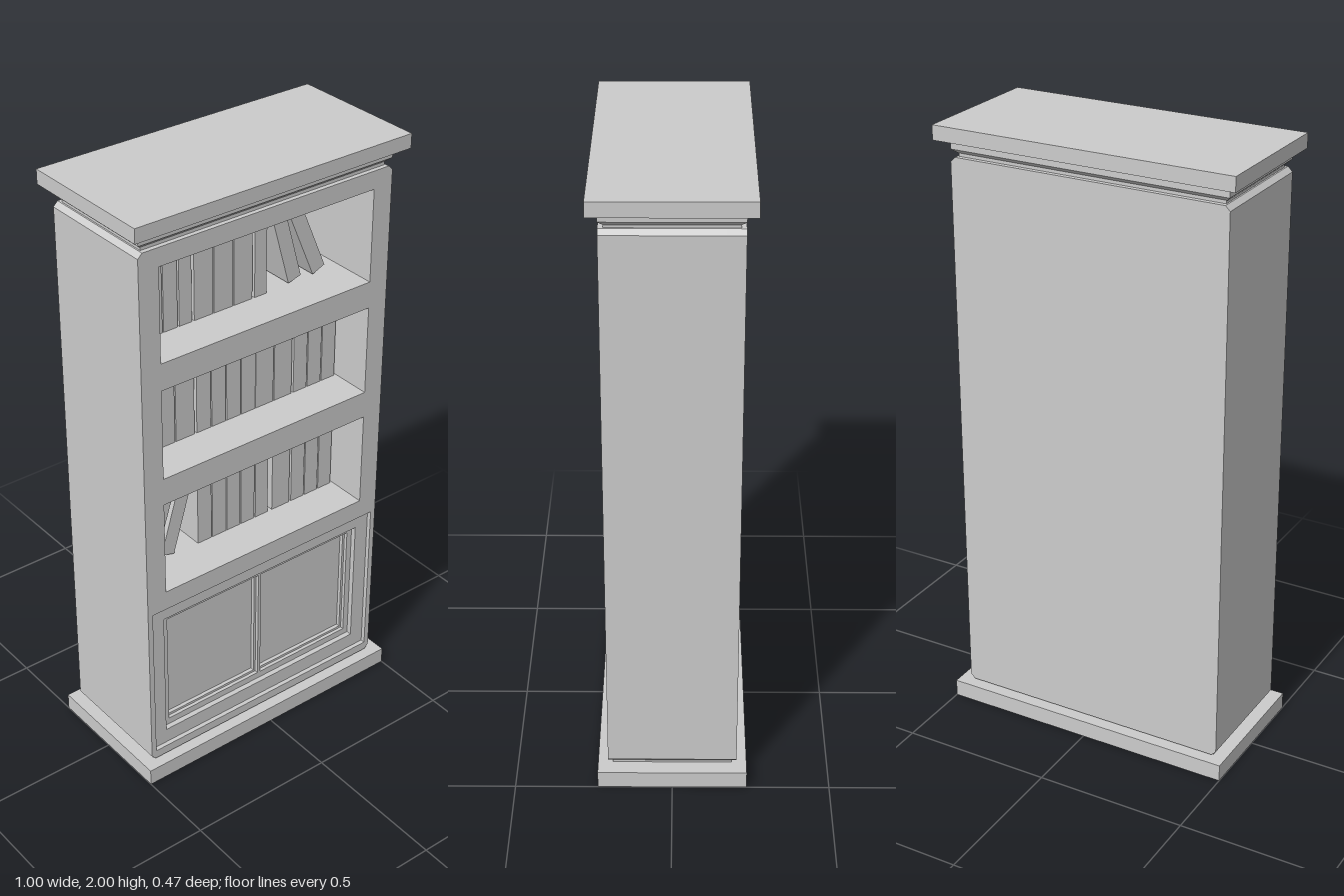
import * as THREE from 'three';

const material = new THREE.MeshStandardMaterial({ color: 0xcccccc });
const CX = -0.005; // centre of the carcass
const BACK = -0.15; // back of the open shelves

export function createModel() {
  const model = new THREE.Group();
  model.name = 'bookcase';

  const add = (name, geometry, parent = model) => {
    const mesh = new THREE.Mesh(geometry, material);
    mesh.name = name;
    parent.add(mesh);
    return mesh;
  };
  // Box given by its limits
  const box = (name, x0, x1, y0, y1, z0, z1, parent) => {
    const mesh = add(name, new THREE.BoxGeometry(x1 - x0, y1 - y0, z1 - z0), parent);
    mesh.position.set((x0 + x1) / 2, (y0 + y1) / 2, (z0 + z1) / 2);
    return mesh;
  };
  // Outline of a rectangle with corners cut by c
  const outline = (Type, x0, x1, y0, y1, c = 0) => new Type([
    [x0 + c, y0], [x1 - c, y0], [x1, y0 + c], [x1, y1 - c],
    [x1 - c, y1], [x0 + c, y1], [x0, y1 - c], [x0, y0 + c],
  ].filter((p, i) => c > 0 || i % 2 === 0).map(([x, y]) => new THREE.Vector2(x, y)));
  // Slab with rectangular holes, running from z0 to z1
  const slab = (name, rect, holes, z0, z1, chamfer, parent) => {
    const shape = outline(THREE.Shape, ...rect, chamfer);
    for (const h of holes) shape.holes.push(outline(THREE.Path, ...h));
    const geometry = new THREE.ExtrudeGeometry(shape, { depth: z1 - z0, bevelEnabled: false });
    geometry.translate(0, 0, z0);
    return add(name, geometry, parent);
  };

  // Base and top
  box('base', -0.5, 0.5, 0, 0.057, -0.237, 0.237);
  box('baseNeck', CX - 0.45, CX + 0.45, 0.05, 0.09, -0.19, 0.19);
  box('topNeck', CX - 0.445, CX + 0.445, 1.87, 1.92, -0.19, 0.19);
  box('topSlab', -0.5, 0.5, 1.953, 2, -0.237, 0.237);

  // Cornice band with a bevelled underside
  const cornice = new THREE.BoxGeometry(0.926, 0.045, 0.41, 1, 2, 1).toNonIndexed();
  const p = cornice.attributes.position;
  for (let i = 0; i < p.count; i++) {
    if (p.getY(i) < -0.01) p.setXYZ(i, p.getX(i) * 0.965, p.getY(i), p.getZ(i) * 0.92);
    else if (p.getY(i) < 0.01) p.setY(i, -0.008);
  }
  cornice.computeVertexNormals();
  add('cornice', cornice).position.set(CX, 1.9315, 0);

  // Carcass with three open shelves and a cupboard recess
  const body = [CX - 0.465, CX + 0.465, 0.065, 1.9];
  const inner = [CX - 0.395, CX + 0.395];
  const cupboard = [CX - 0.447, CX + 0.447, 0.095, 0.65];
  const doorway = [...inner, 0.147, 0.6];
  const shelves = [[1.53, 1.84], [1.135, 1.44], [0.717, 1.043]].map((y) => [...inner, ...y]);
  slab('carcass', body, [...shelves, cupboard], BACK, 0.205, 0.015);
  slab('backPanel', body, [], -0.205, BACK, 0.015);

  // Cupboard front, stepping inwards
  const front = new THREE.Group();
  front.name = 'cupboard';
  model.add(front);
  slab('cupboardFrame', cupboard, [doorway], 0.12, 0.19, 0, front);
  const doors = [[-0.375, -0.008], [0.003, 0.37]];
  const rims = doors.map(([a, b]) => [a, b, 0.17, 0.577]);
  slab('doorFrame', doorway, rims, 0.12, 0.172, 0, front);
  for (const [x0, x1, y0, y1] of rims) {
    const panel = [x0 + 0.008, x1 - 0.008, y0 + 0.008, y1 - 0.008];
    slab('doorMoulding', [x0, x1, y0, y1], [panel], 0.12, 0.16, 0, front);
    box('doorPanel', ...panel, 0.12, 0.147, front);
  }

  // Upright books: floor, then [left edge, width, height, count]
  const rows = [
    [1.53, [[-0.397, 0.055, 0.31, 3], [-0.23, 0.05, 0.31, 1], [-0.175, 0.074, 0.28, 3], [0.052, 0.05, 0.31, 1]]],
    [1.135, [[-0.397, 0.074, 0.285, 3], [-0.17, 0.058, 0.303, 4], [0.06, 0.074, 0.285, 2], [0.212, 0.058, 0.303, 3]]],
    [0.717, [[-0.17, 0.058, 0.31, 4], [0.063, 0.055, 0.31, 1], [0.132, 0.076, 0.287, 1], [0.212, 0.058, 0.31, 3]]],
  ];
  const books = new THREE.Group();
  books.name = 'books';
  model.add(books);
  for (const [floor, runs] of rows) {
    for (const [x, w, h, count] of runs) {
      for (let i = 0; i < count; i++) {
        box('book', x + i * w, x + (i + 1) * w - 0.004, floor, floor + h, -0.13, 0.065, books);
      }
    }
  }

  // Leaning books: [centre x, centre y, tilt]
  const leaning = [
    [0.168, 1.686, 0.27], [0.245, 1.682, 0.4],
    [-0.315, 0.871, -0.31], [-0.246, 0.871, -0.29],
  ];
  for (const [x, y, tilt] of leaning) {
    const book = add('leaningBook', new THREE.BoxGeometry(0.05, 0.3, 0.195), books);
    book.position.set(x, y, -0.0325);
    book.rotation.z = tilt;
  }

  return model;
}
